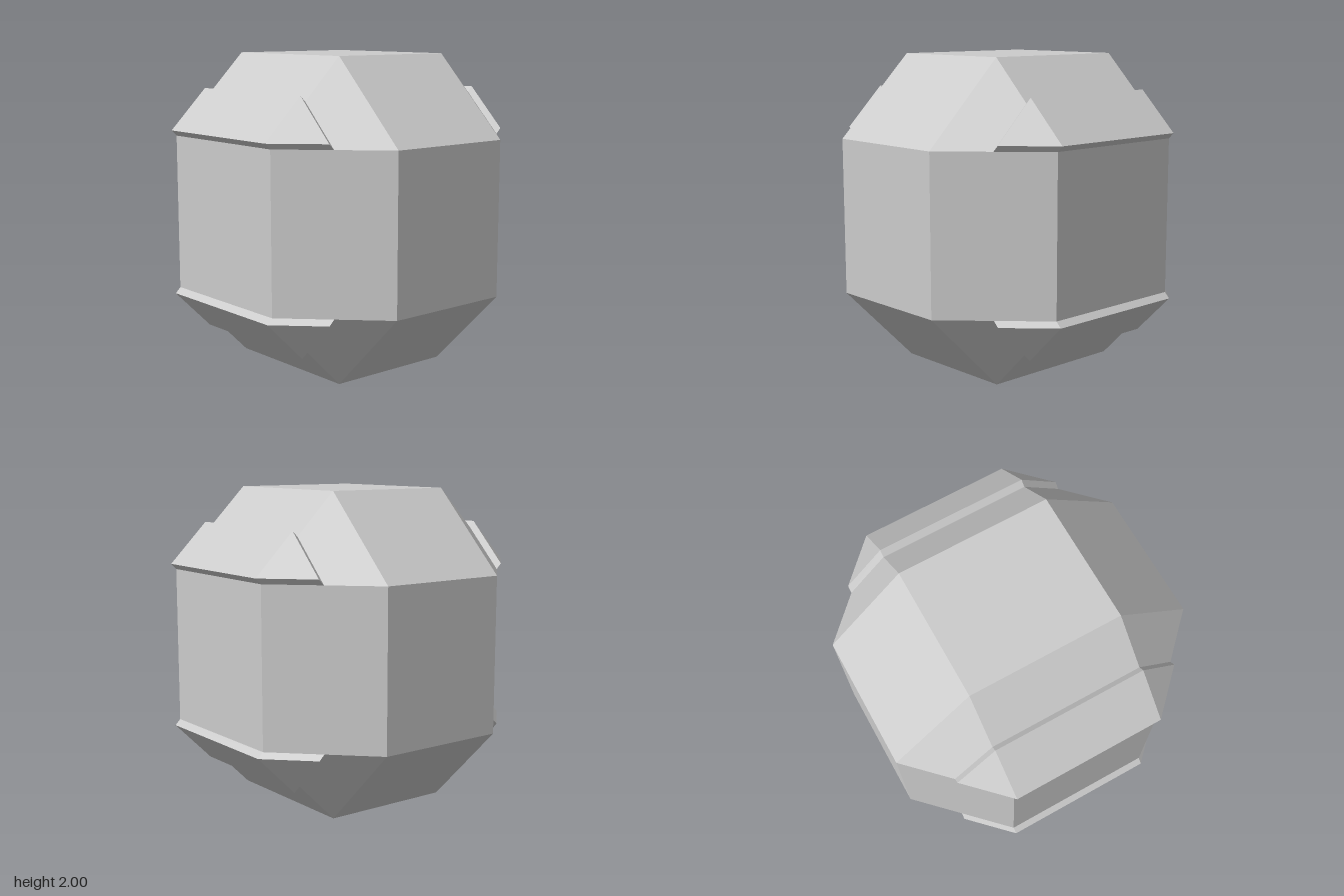
import * as THREE from 'three';
import { ConvexGeometry } from 'three/addons/geometries/ConvexGeometry.js';

const CORE_X = 0.425, CORE = 0.49; // half sizes of the flat faces
const BEVEL = 0.51;                // reach of the bevels
const LIFT = 0.035;                // how far the corner plates stand off

export function createModel() {
  const model = new THREE.Group();
  const material = new THREE.MeshStandardMaterial({ color: 0xcccccc, flatShading: true });
  const signs = [-1, 1];

  const addHull = (name, points) => {
    const mesh = new THREE.Mesh(new ConvexGeometry(points), material);
    mesh.name = name;
    mesh.position.y = 1;
    model.add(mesh);
  };

  // Bevelled body: each core corner is pushed out along x, y and z
  const body = [];
  for (const x of signs) for (const y of signs) for (const z of signs) {
    for (const [dx, dy, dz] of [[BEVEL, 0, 0], [0, BEVEL, 0], [0, 0, BEVEL]]) {
      body.push(new THREE.Vector3(x * (CORE_X + dx), y * (CORE + dy), z * (CORE + dz)));
    }
  }
  addHull('body', body);

  // Raised plates wrapping the outer half of the four side bevels
  const half = BEVEL / 2;
  for (const x of signs) for (const y of signs) {
    const plate = [];
    for (const z of signs) for (const lift of [0, LIFT]) {
      for (const [dx, dy, dz] of [[half, half, 0], [BEVEL, 0, 0], [half, 0, half]]) {
        plate.push(new THREE.Vector3(
          x * (CORE_X + dx + lift), y * (CORE + dy + lift), z * (CORE + dz)));
      }
    }
    addHull(`${y > 0 ? 'upper' : 'lower'}${x > 0 ? 'Left' : 'Right'}Plate`, plate);
  }
  return model;
}
